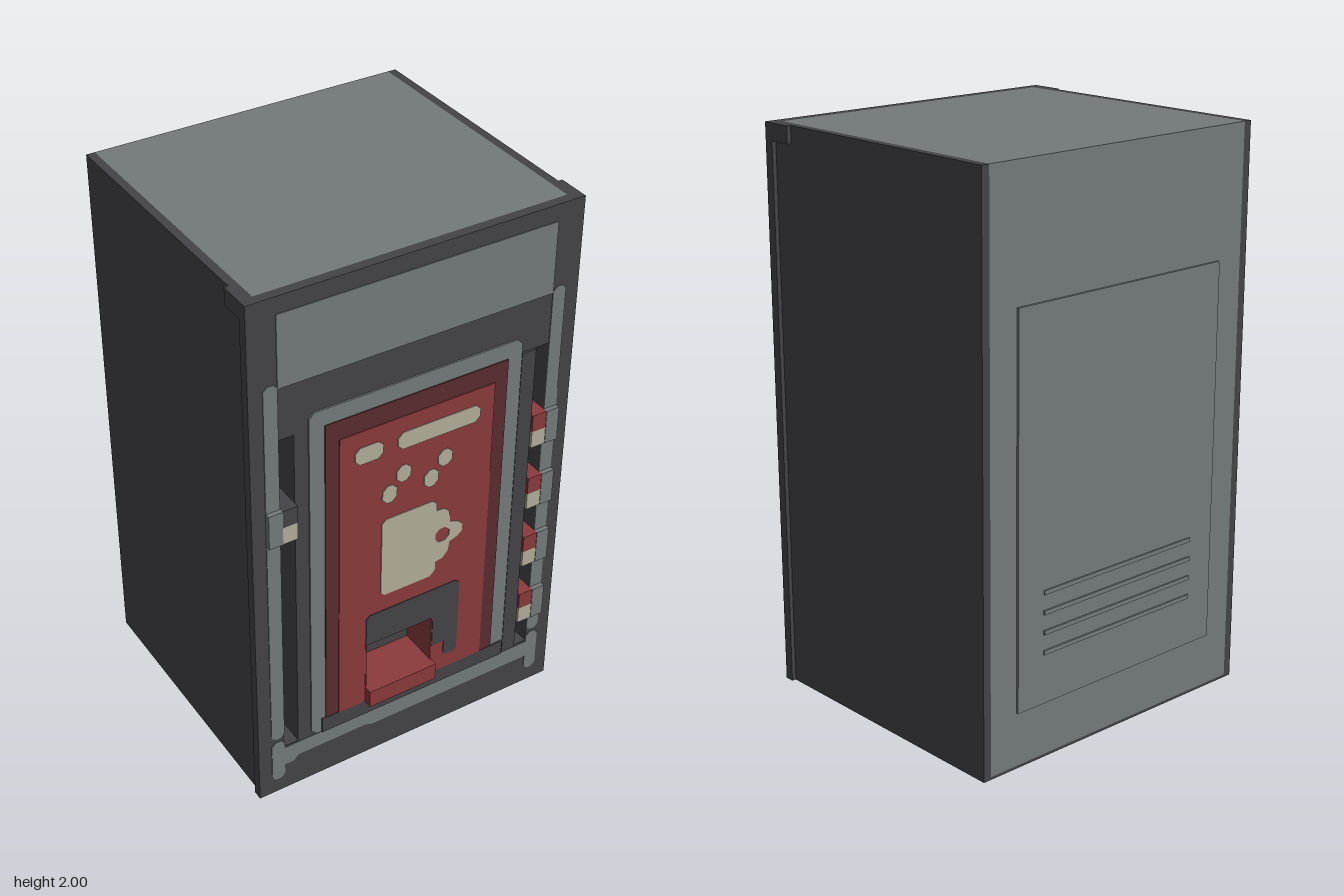
import * as THREE from 'three';

const mat = (name, color) => {
  const m = new THREE.MeshStandardMaterial({ color });
  m.name = name;
  return m;
};

export function createModel() {
  const root = new THREE.Group();
  root.name = 'vendingMachine';
  const dark = mat('charcoal', 0x444347);
  const grey = mat('steelGrey', 0x747a7c);
  const red = mat('red', 0x8b3a3b);
  const deepRed = mat('deepRed', 0x5a2c2e);
  const cream = mat('cream', 0xb2af9b);

  const add = (name, geo, m) => {
    const mesh = new THREE.Mesh(geo, m);
    mesh.name = name;
    root.add(mesh);
    return mesh;
  };
  // Box given by its limits
  const box = (name, m, x0, x1, y0, y1, z0, z1) =>
    add(name, new THREE.BoxGeometry(x1 - x0, y1 - y0, z1 - z0)
      .translate((x0 + x1) / 2, (y0 + y1) / 2, (z0 + z1) / 2), m);
  // Corner points of a rectangle with cut corners
  const rect = (x0, x1, y0, y1, c = 0) => c
    ? [[x0 + c, y0], [x1 - c, y0], [x1, y0 + c], [x1, y1 - c],
      [x1 - c, y1], [x0 + c, y1], [x0, y1 - c], [x0, y0 + c]]
    : [[x0, y0], [x1, y0], [x1, y1], [x0, y1]];
  const vecs = pts => pts.map(([x, y]) => new THREE.Vector2(x, y));
  // Flat plate between two depths, with optional holes
  const plate = (name, m, pts, z0, z1, holes = []) => {
    const shape = new THREE.Shape(vecs(pts));
    holes.forEach(h => shape.holes.push(new THREE.Path(vecs(h))));
    const geo = new THREE.ExtrudeGeometry(shape, { depth: z1 - z0, bevelEnabled: false });
    return add(name, geo.translate(0, 0, z0), m);
  };

  // Cabinet
  box('cabinetShell', grey, -0.56, 0.56, 0.01, 2, -0.54, 0.36);
  box('cabinetTop', grey, -0.56, 0.56, 1.9, 2, 0.36, 0.475);
  box('cabinetBase', dark, -0.56, 0.56, 0, 0.01, -0.54, 0.475);
  for (const s of [-1, 1]) {
    const side = (name, a, b, ...r) => box(name, dark, Math.min(s * a, s * b), Math.max(s * a, s * b), ...r);
    side('sidePanel', 0.56, 0.59, 0, 2, -0.54, 0.475);
    side('topCornerBlock', 0.59, 0.605, 1.94, 2, 0.39, 0.475);
  }

  // Front frame with two button slots and the tray opening
  const tray = rect(-0.19, 0.08, 0.325, 0.52);
  const slots = [rect(-0.505, -0.45, 0.2, 1.49), rect(0.45, 0.505, 0.2, 1.49)];
  plate('frontFrame', dark, rect(-0.605, 0.605, 0, 2), 0.475, 0.51, [tray, ...slots]);
  plate('frontCore', dark, rect(-0.56, 0.56, 0.01, 1.9), 0.38, 0.475, [tray, ...slots]);
  box('recessBacking', dark, -0.56, 0.56, 0.01, 1.9, 0.36, 0.38);

  // Grey trim on the front
  plate('headerPanel', grey, rect(-0.505, 0.505, 1.68, 1.94), 0.51, 0.513);
  for (const s of [-1, 1]) {
    const x0 = s < 0 ? -0.555 : 0.505;
    plate('sideTrim', grey, rect(x0, x0 + 0.05, 0.25, 1.7, 0.015), 0.51, 0.513);
    plate('lowerTrimEnd', grey, rect(x0, x0 + 0.05, 0.06, 0.235, 0.015), 0.51, 0.513);
  }
  plate('lowerTrim', grey, [[-0.505, 0.115], [-0.47, 0.115], [-0.45, 0.135], [-0.18, 0.135],
    [-0.15, 0.125], [0.505, 0.125], [0.505, 0.195], [-0.505, 0.195]], 0.51, 0.513);

  // Layered door
  plate('doorSurround', grey, rect(-0.4, 0.395, 0.2, 1.55, 0.02), 0.51, 0.516, [tray]);
  box('doorSill', dark, -0.36, 0.39, 0.2, 0.262, 0.51, 0.522);
  box('doorEdgeBar', dark, 0.395, 0.45, 0.2, 1.49, 0.51, 0.518);
  plate('doorBorder', deepRed, rect(-0.345, 0.34, 0.26, 1.49), 0.51, 0.52, [tray]);
  plate('doorPanel', red, rect(-0.295, 0.29, 0.261, 1.42), 0.515, 0.523, [tray]);

  // Dispenser surround, lined recess and tray lip
  plate('dispenserSurround', dark, [[-0.19, 0.52], [0.08, 0.52], [0.08, 0.39], [0.13, 0.39],
    [0.13, 0.335], [0.14, 0.325], [0.175, 0.325], [0.185, 0.335], [0.185, 0.635],
    [0.17, 0.648], [-0.175, 0.648], [-0.19, 0.635]], 0.523, 0.526);
  box('trayLip', red, -0.19, 0.08, 0.26, 0.325, 0.51, 0.555);
  box('trayFloor', red, -0.19, 0.08, 0.32, 0.328, 0.38, 0.555);
  box('trayWallRight', red, -0.19, -0.186, 0.326, 0.52, 0.38, 0.524);
  box('trayWallLeft', red, 0.076, 0.08, 0.326, 0.52, 0.38, 0.524);

  // Cream pictures on the door
  const paint = (name, pts, holes) => plate(name, cream, pts, 0.523, 0.526, holes);
  paint('shortBar', rect(-0.24, -0.135, 1.295, 1.36, 0.018));
  paint('longBar', rect(-0.08, 0.235, 1.295, 1.36, 0.018));
  for (const x of [0, 0.16]) {
    paint('steamUpper', rect(x - 0.083, x - 0.028, 1.165, 1.23, 0.018));
    paint('steamLower', rect(x - 0.135, x - 0.08, 1.1, 1.168, 0.018));
  }
  const ring = Array.from({ length: 8 }, (_, i) => {
    const a = (i + 0.5) * Math.PI / 4;
    return [0.105 + 0.03 * Math.cos(a), 0.877 + 0.03 * Math.sin(a)];
  });
  paint('cup', [[-0.135, 0.73], [-0.12, 0.715], [0.06, 0.715], [0.08, 0.735], [0.08, 0.77],
    [0.11, 0.775], [0.13, 0.8], [0.135, 0.835], [0.165, 0.845], [0.185, 0.862], [0.185, 0.89],
    [0.165, 0.91], [0.135, 0.92], [0.13, 0.965], [0.11, 0.985], [0.08, 0.988], [0.078, 1.02],
    [0.06, 1.035], [-0.12, 1.035], [-0.135, 1.02]], [ring]);

  // Buttons: grey mount, coloured upper half, cream lower half
  const button = (y, s, upper) => {
    const span = (name, m, a, b, ...r) => box(name, m, Math.min(s * a, s * b), Math.max(s * a, s * b), ...r);
    span('buttonMount', grey, 0.505, 0.555, y, y + 0.13, 0.51, 0.53);
    span('buttonUpper', upper, 0.45, 0.505, y + 0.065, y + 0.13, 0.38, 0.528);
    span('buttonLower', cream, 0.45, 0.505, y, y + 0.065, 0.38, 0.528);
  };
  [0.325, 0.585, 0.84, 1.1].forEach(y => button(y, 1, red));
  button(1.1, -1, dark);

  // Rear service panel and louvres
  box('rearPanel', grey, -0.45, 0.45, 0.2, 1.55, -0.549, -0.54);
  for (let i = 0; i < 4; i++) {
    const y = 0.375 + i * 0.07;
    box('rearLouvre', grey, -0.34, 0.34, y, y + 0.015, -0.555, -0.549);
  }
  return root;
}
